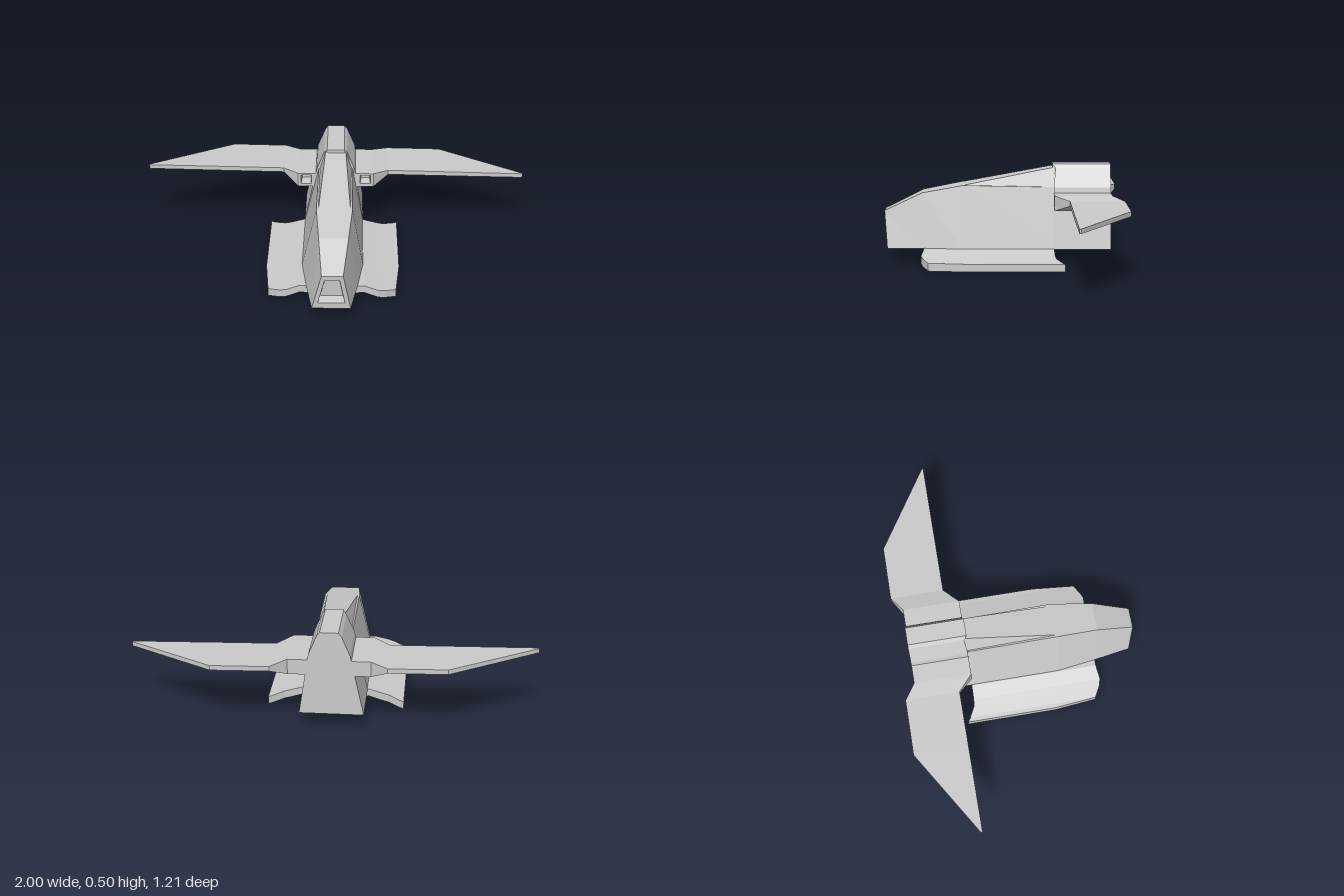
import * as THREE from 'three';

const material = new THREE.MeshStandardMaterial({ color: 0xcccccc, flatShading: true });

// Closed solid skinned over equal-length rings of [x, y, z], with fan caps.
function loft(name, rings) {
  const tris = [];
  const n = rings[0].length;
  for (let r = 0; r < rings.length - 1; r++) {
    for (let i = 0; i < n; i++) {
      const j = (i + 1) % n;
      const a = rings[r][i], b = rings[r][j], c = rings[r + 1][j], d = rings[r + 1][i];
      tris.push([a, b, c], [a, c, d]);
    }
  }
  const first = rings[0], last = rings[rings.length - 1];
  for (let i = 1; i < n - 1; i++) {
    tris.push([first[0], first[i + 1], first[i]], [last[0], last[i], last[i + 1]]);
  }
  // Turn the solid the right way out using its signed volume.
  let volume = 0;
  const v = (p) => new THREE.Vector3(...p);
  for (const [a, b, c] of tris) volume += v(a).dot(v(b).cross(v(c)));
  if (volume < 0) tris.forEach((t) => t.reverse());
  const geometry = new THREE.BufferGeometry();
  geometry.setAttribute('position', new THREE.Float32BufferAttribute(tris.flat(2), 3));
  geometry.computeVertexNormals();
  const mesh = new THREE.Mesh(geometry, material);
  mesh.name = name;
  return mesh;
}

// Symmetric ring from [halfWidth, y, z] points; the base leans slightly to -x.
function hullRing(points) {
  const lean = (y) => -0.01 * Math.max(0, (0.39 - y) / 0.31);
  const right = points.map(([w, y, z]) => [lean(y) + w, y, z]);
  const left = points.map(([w, y, z]) => [lean(y) - w, y, z]).reverse();
  return [...right, ...left];
}

// Four-sided ring across a plate at one x station.
function plateRing(x, bottom, top, front, back) {
  return [[x, bottom, front], [x, top, front], [x, top, back], [x, bottom, back]];
}

function createHull() {
  const hull = new THREE.Group();
  hull.name = 'hull';

  // Main hull, tapering to a nose with a recessed intake
  hull.add(loft('fuselage', [
    hullRing([[0.155, 0.08, -0.3], [0.09, 0.39, -0.3]]),
    hullRing([[0.155, 0.08, 0.2], [0.09, 0.4, 0.2]]),
    hullRing([[0.128, 0.08, 0.4], [0.073, 0.36, 0.41]]),
    hullRing([[0.095, 0.073, 0.59], [0.052, 0.265, 0.605]]),
    hullRing([[0.066, 0.105, 0.592], [0.036, 0.24, 0.603]]),
    hullRing([[0.055, 0.115, 0.54], [0.03, 0.225, 0.545]]),
  ]));

  // Wedge-shaped spine rising toward the tail
  hull.add(loft('spine', [
    hullRing([[0.085, 0.385, 0.2], [0.08, 0.4, 0.2]]),
    hullRing([[0.085, 0.385, -0.27], [0.053, 0.49, -0.27]]),
  ]));

  // Tail block with a bevelled roof and a raked front
  const tail = (front) => hullRing([
    [0.157, 0.08, front ? -0.265 : -0.55],
    [0.1, 0.39, front ? -0.26 : -0.55],
    [0.06, 0.485, front ? -0.27 : -0.55],
    [0.045, 0.505, front ? -0.255 : -0.55],
  ]);
  hull.add(loft('tailBlock', [tail(false), tail(true)]));
  return hull;
}

function createWing(side) {
  const wing = new THREE.Group();
  wing.name = side > 0 ? 'leftWing' : 'rightWing';

  // Root pod with a square intake sunk into its front
  const podRing = (x0, x1, y0, y1, z) => [
    [side * x0, y0, z], [side * x1, y0, z], [side * x1, y1, z], [side * x0, y1, z],
  ];
  wing.add(loft('wingPod', [
    podRing(0.07, 0.2, 0.285, 0.362, -0.55),
    podRing(0.07, 0.2, 0.285, 0.362, -0.26),
    podRing(0.13, 0.185, 0.302, 0.352, -0.26),
    podRing(0.135, 0.18, 0.307, 0.347, -0.32),
  ]));

  // Fairing and swept blade, with the pair rolled slightly to one side
  const blade = (x, half, front, back) => {
    const y = 0.339 - side * x * 0.02;
    return plateRing(side * x, y - half, y + half, front, back);
  };
  wing.add(loft('wingBlade', [
    plateRing(side * 0.2, 0.285, 0.362, -0.26, -0.55),
    blade(0.28, 0.012, -0.332, -0.605),
    blade(0.565, 0.012, -0.332, -0.605),
    blade(1, 0.011, -0.332, -0.34),
  ]));
  return wing;
}

// Drooping landing skid plate, stations running outward and mirrored
function createSkid() {
  const stations = [
    [0.08, 0.035, 0.081, 0.4, -0.262],
    [0.16, 0.042, 0.081, 0.4, -0.262],
    [0.23, 0.021, 0.061, 0.41, -0.264],
    [0.265, 0.013, 0.053, 0.4, -0.268],
    [0.32, 0.001, 0.041, 0.37, -0.297],
    [0.341, 0, 0.039, 0.15, -0.31],
  ];
  const ring = (side) => ([x, ...rest]) => plateRing(side * x - 0.01, ...rest);
  return loft('landingSkid', [
    ...[...stations].reverse().map(ring(-1)),
    ...stations.map(ring(1)),
  ]);
}

export function createModel() {
  const model = new THREE.Group();
  model.name = 'wingedCraft';
  model.add(createHull(), createWing(1), createWing(-1), createSkid());
  return model;
}
